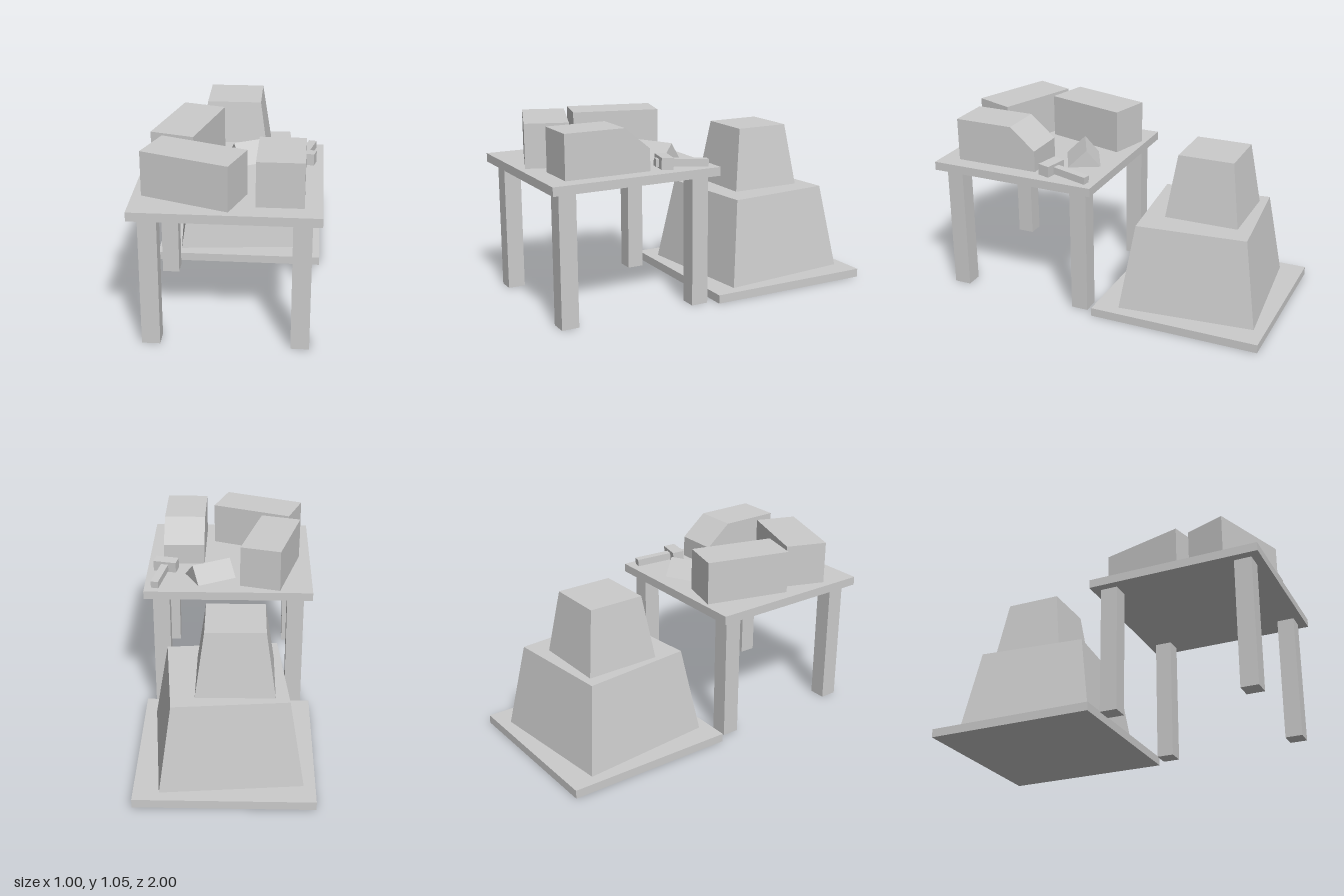
import * as THREE from 'three';

const material = new THREE.MeshStandardMaterial({ color: 0xcccccc, flatShading: true });

export function createModel() {
  const model = new THREE.Group();

  function add(name, geometry, x, y, z, turn = 0, parent = model) {
    const mesh = new THREE.Mesh(geometry, material);
    mesh.name = name;
    mesh.position.set(x, y, z);
    mesh.rotation.y = turn;
    parent.add(mesh);
    return mesh;
  }

  const box = (w, h, d) => new THREE.BoxGeometry(w, h, d);

  // Square block tapering from a bottom side to a top side
  const taper = (bottom, top, height) =>
    new THREE.CylinderGeometry(top / Math.SQRT2, bottom / Math.SQRT2, height, 4).rotateY(Math.PI / 4);

  // Side profile of [z, y] points, extruded across x
  function prism(points, width) {
    const shape = new THREE.Shape(points.map(([z, y]) => new THREE.Vector2(z, y)));
    return new THREE.ExtrudeGeometry(shape, { depth: width, bevelEnabled: false })
      .translate(0, 0, -width / 2)
      .rotateY(-Math.PI / 2);
  }

  // Stepped mound on its slab
  add('groundSlab', box(1, 0.05, 1), 0, 0.025, -0.5);
  add('lowerMound', taper(0.795, 0.64, 0.5), -0.002, 0.3, -0.5, 0.095);
  add('upperMound', taper(0.435, 0.328, 0.37), -0.053, 0.735, -0.534, 0.01);

  // Table
  add('tableTop', box(1, 0.05, 1), 0, 0.775, 0.5);
  for (const x of [-0.4, 0.4])
    for (const z of [0.1, 0.9])
      add('tableLeg', box(0.1, 0.75, 0.1), x, 0.375, z);

  // Blocks lying on the table
  add('backBlock', box(0.245, 0.25, 0.5), -0.252, 0.925, 0.3, -0.26);
  add('frontBlock', box(0.5, 0.25, 0.245), -0.174, 0.925, 0.76, -0.35);
  add('chamferedBlock',
    prism([[-0.25, 0], [0.25, 0], [0.25, 0.25], [-0.1, 0.25], [-0.25, 0.125]], 0.25),
    0.28, 0.8, 0.64);
  add('wedge', prism([[-0.094, 0], [0.094, 0], [-0.014, 0.1]], 0.248), 0.1125, 0.8, 0.222, 0.48);

  // Hammer, its head end raised a little
  const hammer = new THREE.Group();
  hammer.name = 'hammer';
  hammer.position.set(0.385, 0.84, 0.294);
  hammer.rotation.set(-0.06, -0.21, 0, 'YXZ');
  model.add(hammer);
  add('hammerHead', box(0.14, 0.065, 0.07), 0, 0, 0, 0, hammer);
  add('hammerHandle', box(0.045, 0.042, 0.305), 0, -0.004, -0.1, 0, hammer);

  return model;
}
